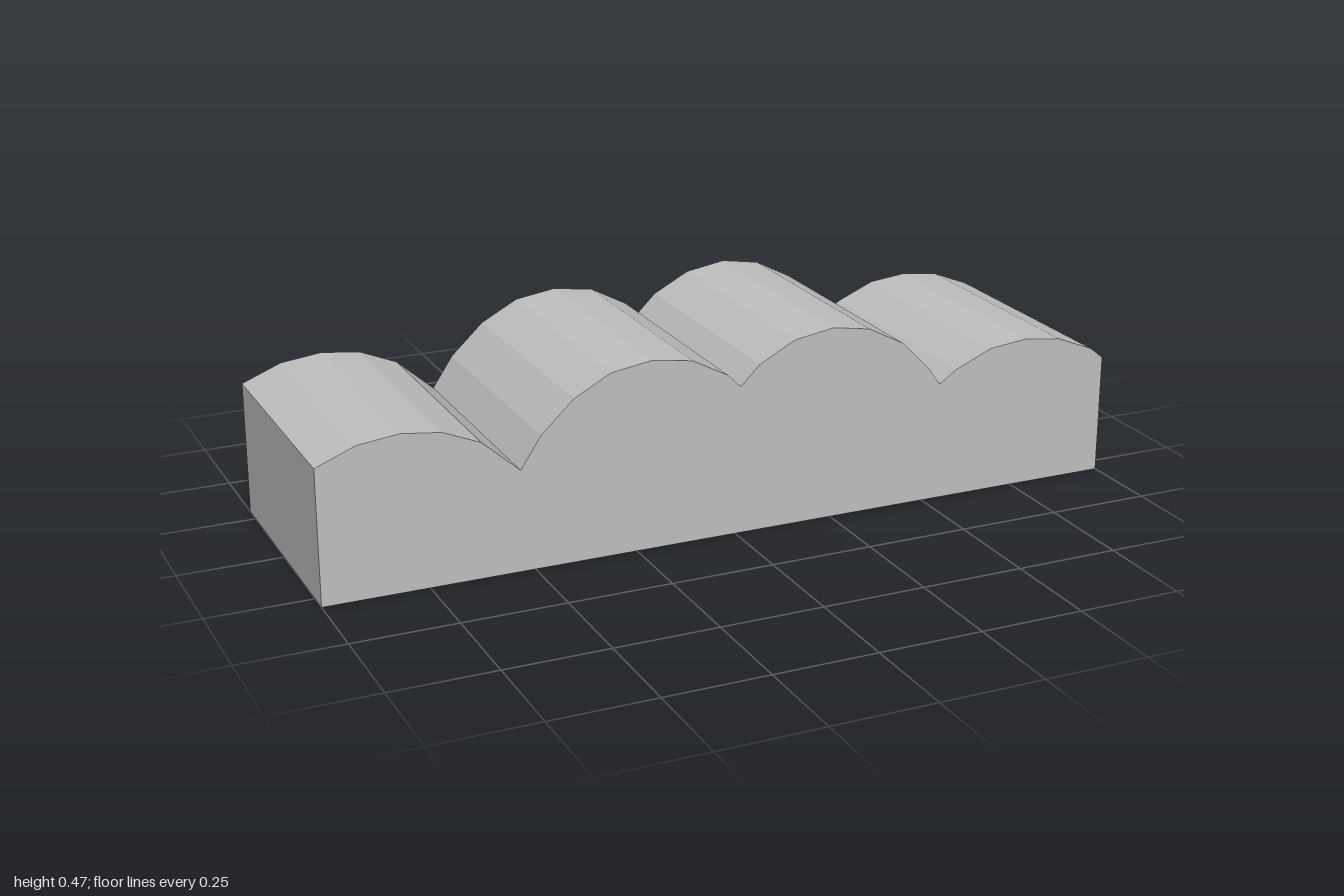
import * as THREE from 'three';

const DEPTH = 0.6;

// Upper outline, one row of [x, y] points per rounded crest, left to right
const crests = [
  [[-1, 0.325], [-0.905, 0.363], [-0.805, 0.375], [-0.71, 0.363], [-0.62, 0.325], [-0.53, 0.245]],
  [[-0.48, 0.32], [-0.4, 0.395], [-0.31, 0.443], [-0.21, 0.458], [-0.11, 0.443], [-0.02, 0.395], [0.012, 0.363]],
  [[0.06, 0.41], [0.15, 0.457], [0.25, 0.473], [0.345, 0.457], [0.435, 0.41], [0.51, 0.335], [0.54, 0.292]],
  [[0.585, 0.323], [0.68, 0.363], [0.775, 0.373], [0.87, 0.361], [0.965, 0.323], [1, 0.295]],
];

export function createModel() {
  const group = new THREE.Group();
  group.name = 'scallopedBlock';

  const grey = new THREE.MeshStandardMaterial({ color: 0xbfbfbf });
  grey.name = 'plain grey';

  // Flat base closed by the scalloped top
  const outline = [[1, 0], [-1, 0], ...crests.flat()].map(([x, y]) => new THREE.Vector2(x, y));
  const geometry = new THREE.ExtrudeGeometry(new THREE.Shape(outline), {
    depth: DEPTH,
    bevelEnabled: false,
  });
  geometry.translate(0, 0, -DEPTH / 2);

  const block = new THREE.Mesh(geometry, grey);
  block.name = 'scallopedBody';
  group.add(block);
  return group;
}
